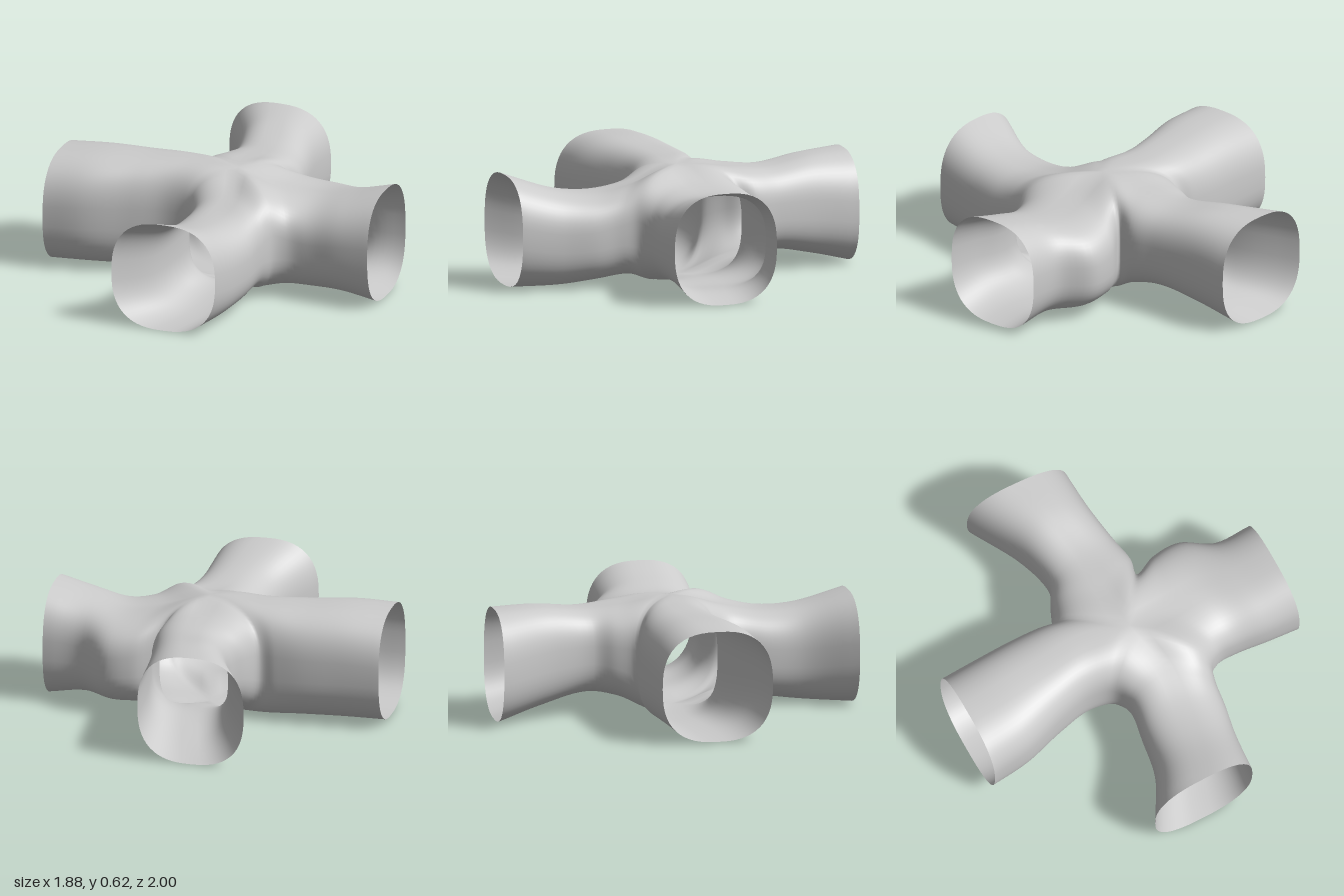
import * as THREE from 'three';
import { mergeVertices } from 'three/addons/utils/BufferGeometryUtils.js';

// Centre lines of the two crossing tubes: [x, z, top, bottom], middle entry shared
const CENTRE = [0.07, 0.03, 0.62, 0.01];
const lineX = [
  [-0.94, 0.055, 0.62, 0.01], [-0.7, 0.04, 0.63, 0.015], [-0.45, 0.02, 0.625, 0.015], [-0.22, 0, 0.625, 0.01],
  CENTRE,
  [0.32, 0.02, 0.555, 0.035], [0.52, 0, 0.535, 0.035], [0.72, 0.05, 0.565, 0.04], [0.94, 0.065, 0.62, 0.005],
];
const lineZ = [
  [-0.07, -0.985, 0.615, 0.005], [-0.01, -0.75, 0.61, 0.07], [0.05, -0.48, 0.58, 0.12], [0.06, -0.24, 0.595, 0.09],
  CENTRE,
  [0.13, 0.3, 0.55, 0.06], [0.115, 0.5, 0.515, 0.04], [0.08, 0.72, 0.53, 0.015], [0, 1, 0.615, 0.005],
];

// Side walls in plan, each from an x arm's end round the corner to a z arm's end
const walls = [
  { sx: -1, sz: 1, pts: [[-0.94, 0.36], [-0.72, 0.335], [-0.47, 0.26], [-0.28, 0.22], [-0.15, 0.25],
    [-0.1, 0.34], [-0.12, 0.52], [-0.16, 0.74], [-0.3, 1]] },
  { sx: 1, sz: 1, pts: [[0.94, 0.36], [0.75, 0.345], [0.58, 0.322], [0.47, 0.325], [0.4, 0.37],
    [0.37, 0.46], [0.355, 0.6], [0.325, 0.77], [0.3, 1]] },
  { sx: 1, sz: -1, pts: [[0.94, -0.23], [0.74, -0.24], [0.57, -0.345], [0.41, -0.335], [0.28, -0.27],
    [0.295, -0.36], [0.27, -0.5], [0.24, -0.72], [0.23, -0.97]] },
  { sx: -1, sz: -1, pts: [[-0.94, -0.255], [-0.72, -0.258], [-0.5, -0.26], [-0.36, -0.25], [-0.27, -0.24],
    [-0.21, -0.35], [-0.165, -0.45], [-0.21, -0.68], [-0.37, -1]] },
];

const curve = (pts, h) => new THREE.CatmullRomCurve3(pts.map((p) => new THREE.Vector3(p[0], h ? p[h] : 0, p[1])));
const ridges = [lineX, lineZ].map((l) => ({ top: curve(l, 2), bottom: curve(l, 3) }));
const power = (v, e) => Math.sign(v) * Math.abs(v) ** e;

const ROWS = 48, SIDES = 28;

// One quarter of the shell: half cross-sections lofted along a wall
function addQuarter({ sx, sz, pts }, positions, index) {
  const wall = curve(pts);
  const base = positions.length / 3;
  for (let i = 0; i <= ROWS; i++) {
    const t = i / ROWS;
    const onX = t <= 0.5;
    const along = Math.abs(t - 0.5); // 0 at the crossing, 0.5 at the open ends
    const ridge = ridges[onX ? 0 : 1];
    const u = 0.5 + (onX ? sx : sz) * along;
    const top = ridge.top.getPoint(u), bottom = ridge.bottom.getPoint(u), w = wall.getPoint(t);
    const mid = (top.y + bottom.y) / 2, half = (top.y - bottom.y) / 2;
    const e = 2 / (3 - 0.8 * along);
    for (let j = 0; j <= SIDES; j++) {
      const a = (Math.PI * j) / SIDES;
      const out = j % SIDES ? power(Math.sin(a), e) : 0;
      positions.push(
        top.x + (w.x - top.x) * out,
        mid + half * power(Math.cos(a), e),
        top.z + (w.z - top.z) * out,
      );
    }
  }
  for (let i = 0; i < ROWS; i++) {
    for (let j = 0; j < SIDES; j++) {
      const a = base + i * (SIDES + 1) + j, b = a + SIDES + 1;
      if (sx * sz > 0) index.push(a, b, a + 1, b, b + 1, a + 1);
      else index.push(a, a + 1, b, b, a + 1, b + 1);
    }
  }
}

export function createModel() {
  const group = new THREE.Group();
  group.name = 'crossJunction';

  // Hollow four-way tube with open ends, welded along the centre lines
  const positions = [], index = [];
  walls.forEach((w) => addQuarter(w, positions, index));
  let geometry = new THREE.BufferGeometry();
  geometry.setAttribute('position', new THREE.Float32BufferAttribute(positions, 3));
  geometry.setIndex(index);
  geometry = mergeVertices(geometry, 1e-4);
  geometry.computeVertexNormals();

  const shell = new THREE.Mesh(
    geometry,
    new THREE.MeshStandardMaterial({ color: 0xcccccc, side: THREE.DoubleSide }),
  );
  shell.name = 'fourWayTube';
  group.add(shell);
  return group;
}
